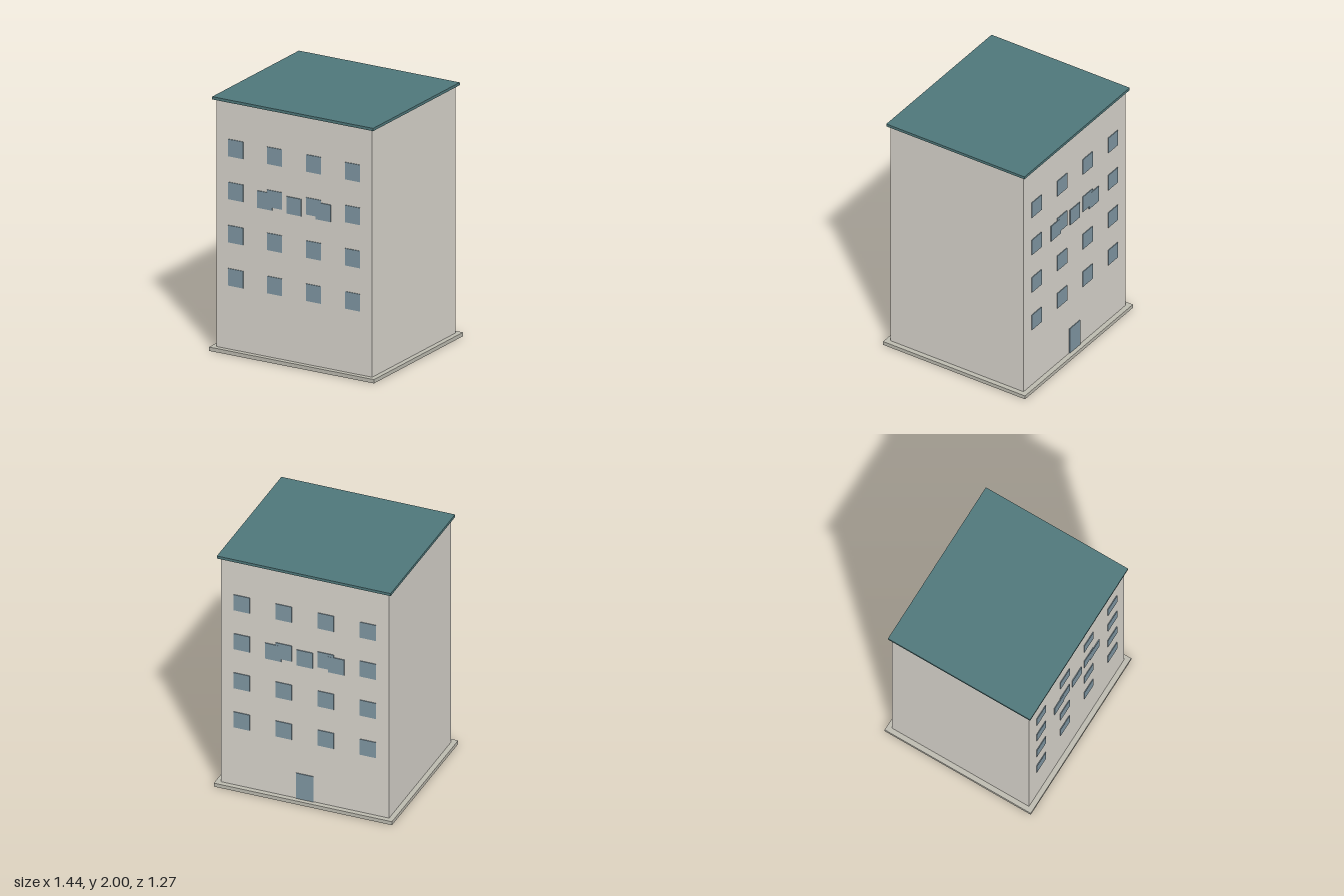
import * as THREE from 'three';

const material = (color) => new THREE.MeshStandardMaterial({ color });

export function createModel() {
  const building = new THREE.Group();
  building.name = 'apartmentBuilding';

  const wall = material(0xd8d4cc);
  const stone = material(0xbdbbb0);
  const roofing = material(0x4f777a);
  const glass = material(0x7f96a2);

  // Box placed by its bottom height
  function addBox(parent, name, mat, w, h, d, x, bottom, z) {
    const mesh = new THREE.Mesh(new THREE.BoxGeometry(w, h, d), mat);
    mesh.name = name;
    mesh.position.set(x, bottom + h / 2, z);
    parent.add(mesh);
  }

  // Base slab, walls and flat roof
  addBox(building, 'baseSlab', stone, 1.44, 0.03, 1.274, 0, 0, 0);
  addBox(building, 'walls', wall, 1.36, 1.95, 1.194, 0, 0.03, 0);
  addBox(building, 'roof', roofing, 1.404, 0.022, 1.24, 0, 1.978, 0);

  // Windows for one face: a regular grid plus three stairwell windows
  const wallZ = 0.597;
  function addWindows(parent) {
    for (const bottom of [0.53, 0.87, 1.21, 1.548]) {
      for (const x of [-0.51, -0.17, 0.17, 0.51]) {
        addBox(parent, 'window', glass, 0.13, 0.135, 0.012, x, bottom, wallZ);
      }
    }
    for (const x of [-0.255, 0, 0.255]) {
      addBox(parent, 'middleWindow', glass, 0.13, 0.135, 0.014, x, 1.188, wallZ);
    }
  }

  const front = new THREE.Group();
  front.name = 'frontFace';
  addWindows(front);

  // The rear face carries the entrance door
  const back = new THREE.Group();
  back.name = 'backFace';
  back.rotation.y = Math.PI;
  addWindows(back);
  addBox(back, 'door', glass, 0.14, 0.22, 0.012, 0, 0.03, wallZ);

  building.add(front, back);
  return building;
}
